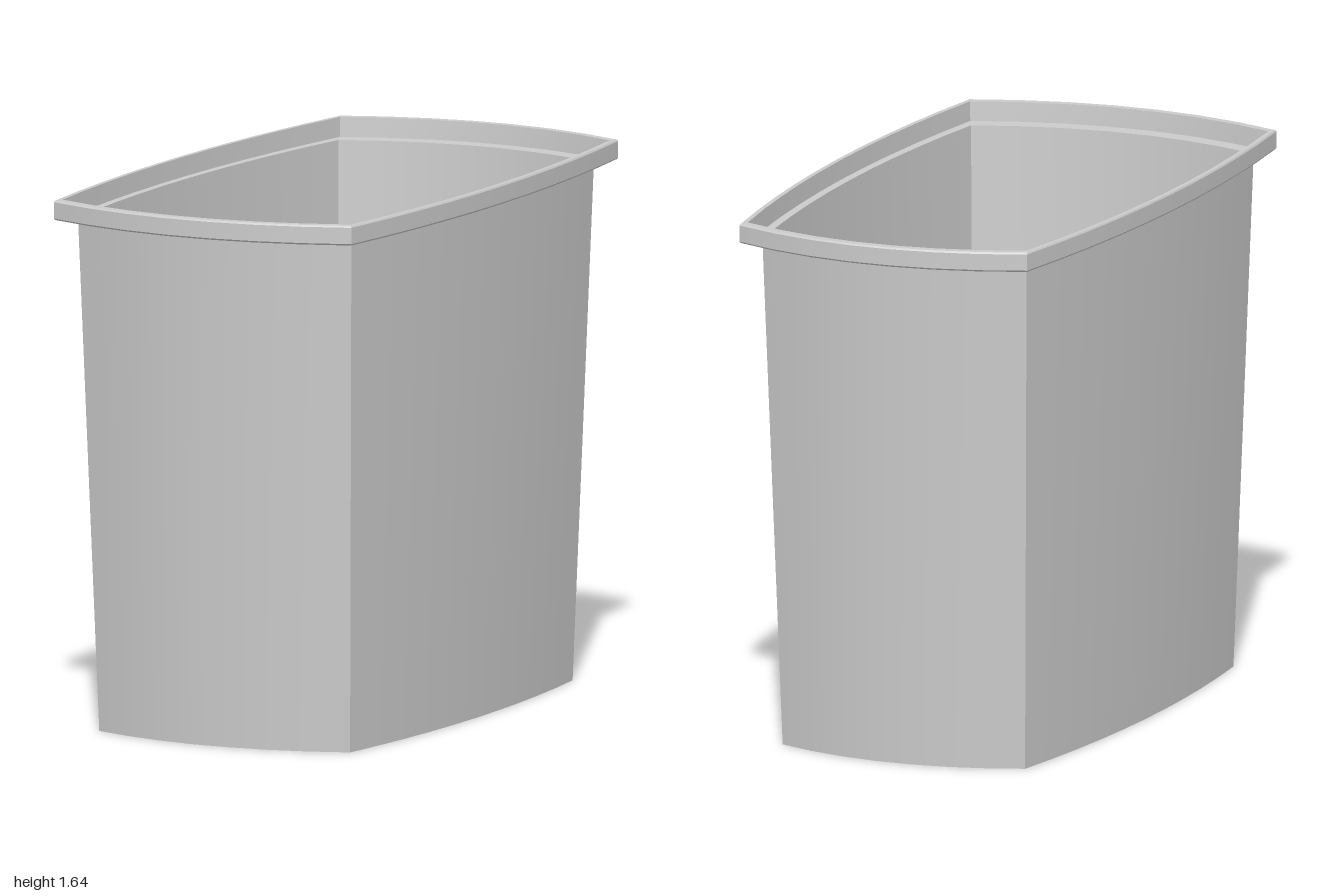
import * as THREE from 'three';
import { toCreasedNormals } from 'three/addons/utils/BufferGeometryUtils.js';

// Skewed four-cornered footprint [x, z]; each side bows outward
const corners = [[0.5, -0.695], [0.35, 0.79], [-0.5, 0.69], [-0.295, -0.79]];
const bows = [0.052, 0.088, 0.052, 0.088];
const steps = [10, 7, 10, 7];

function footprint() {
  const points = [];
  corners.forEach(([x0, z0], i) => {
    const [x1, z1] = corners[(i + 1) % 4];
    const dx = x1 - x0, dz = z1 - z0, len = Math.hypot(dx, dz);
    for (let k = 0; k < steps[i]; k++) {
      const t = k / steps[i], bow = 4 * bows[i] * t * (1 - t);
      points.push([x0 + dx * t + (dz / len) * bow, z0 + dz * t - (dx / len) * bow]);
    }
  });
  return points;
}

// Skin a list of rings [scaleX, scaleZ, y], all scaled copies of the footprint
function loft(rings) {
  const outline = footprint(), n = outline.length, positions = [];
  const at = ([sx, sz, y], j) => {
    const [x, z] = outline[j % n];
    return [x * sx, y, z * sz];
  };
  for (let i = 0; i < rings.length - 1; i++) {
    const low = rings[i], high = rings[i + 1];
    for (let j = 0; j < n; j++) {
      const a = at(low, j), b = at(low, j + 1), c = at(high, j + 1), d = at(high, j);
      if (low[0] > 0) positions.push(...a, ...d, ...b);
      positions.push(...b, ...d, ...c);
    }
  }
  const geometry = new THREE.BufferGeometry();
  geometry.setAttribute('position', new THREE.Float32BufferAttribute(positions, 3));
  return toCreasedNormals(geometry, 0.5);
}

export function createModel() {
  const group = new THREE.Group();
  group.name = 'wasteBin';
  const material = new THREE.MeshStandardMaterial({ color: 0xcccccc, side: THREE.DoubleSide });
  const add = (name, rings) => {
    const mesh = new THREE.Mesh(loft(rings), material);
    mesh.name = name;
    group.add(mesh);
  };

  // Thin tapered wall with a flat floor
  add('body', [[0, 0, 0], [1, 1, 0], [1.09, 1.09, 1.58]]);

  // Ledge stepping out from the wall, then a raised lip
  add('rim', [
    [1.09, 1.09, 1.58],
    [1.18, 1.197, 1.58],
    [1.187, 1.203, 1.585],
    [1.187, 1.203, 1.635],
    [1.18, 1.197, 1.64],
    [1.15, 1.165, 1.64],
    [1.145, 1.16, 1.58],
  ]);
  return group;
}
